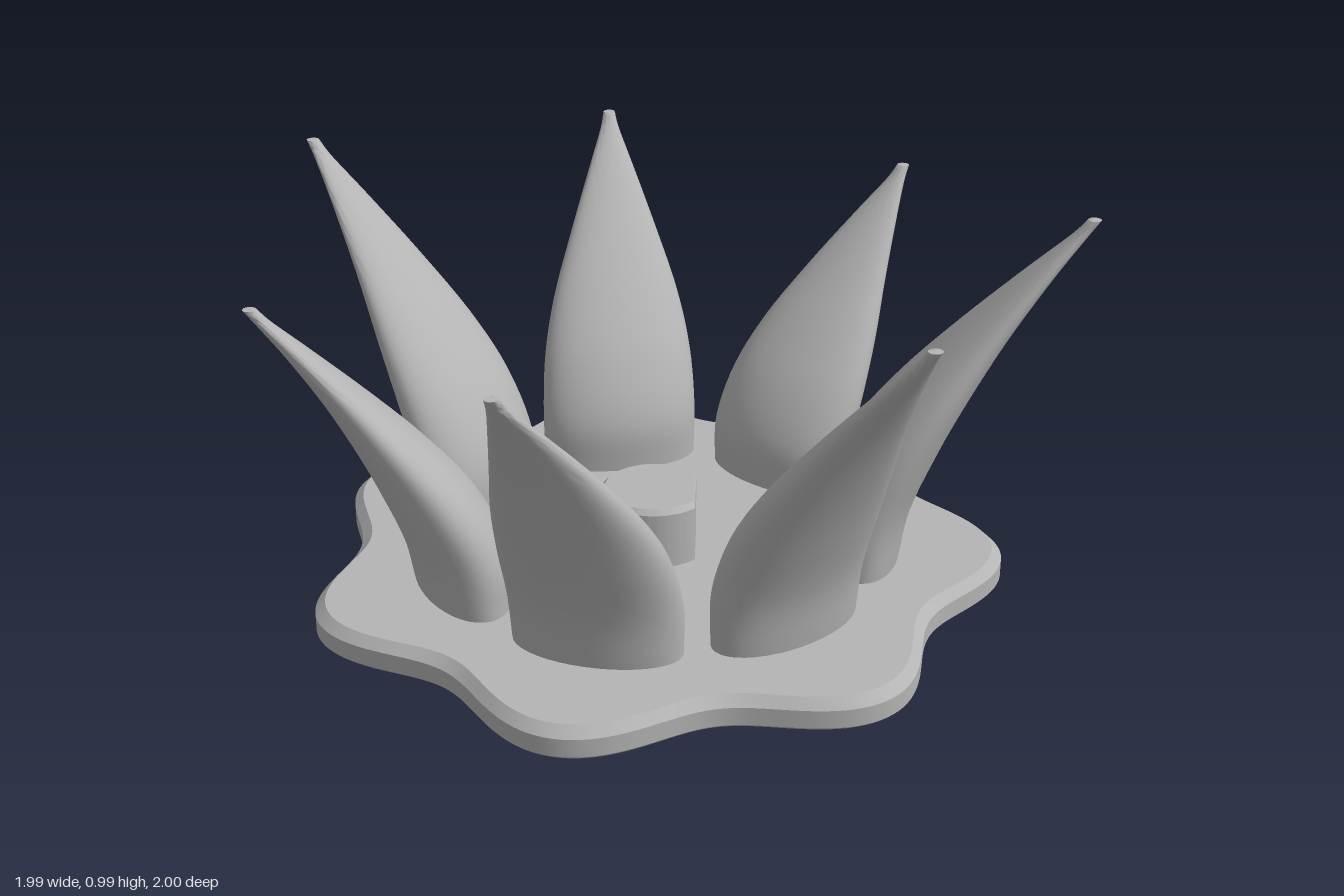
import * as THREE from 'three';
import { toCreasedNormals } from 'three/addons/utils/BufferGeometryUtils.js';

const CX = -0.07, CZ = 0.008, LEAVES = 7;

// Skin a stack of n-point rings, bottom to top, and cap both ends.
function loft(rings, crease) {
  const n = rings[0].length, pos = [], idx = [];
  rings.forEach(r => r.forEach(p => pos.push(p.x, p.y, p.z)));
  for (let i = 0; i < rings.length - 1; i++) {
    for (let j = 0; j < n; j++) {
      const k = (j + 1) % n;
      const a = i * n + j, b = i * n + k, c = b + n, d = a + n;
      idx.push(a, d, c, a, c, b);
    }
  }
  for (const i of [0, rings.length - 1]) {
    const mid = new THREE.Vector3();
    rings[i].forEach(p => mid.addScaledVector(p, 1 / n));
    const m = pos.length / 3;
    pos.push(mid.x, mid.y, mid.z);
    for (let j = 0; j < n; j++) {
      const a = i * n + j, b = i * n + (j + 1) % n;
      if (i === 0) idx.push(m, a, b); else idx.push(m, b, a);
    }
  }
  const g = new THREE.BufferGeometry();
  g.setAttribute('position', new THREE.Float32BufferAttribute(pos, 3));
  g.setIndex(idx);
  return toCreasedNormals(g, crease);
}

// Ring at height y whose radius follows a function of the angle.
function polarRing(n, y, radius) {
  return Array.from({ length: n }, (_, j) => {
    const a = j / n * Math.PI * 2, r = radius(a);
    return new THREE.Vector3(r * Math.cos(a), y, r * Math.sin(a));
  });
}

// Leaf: elliptical sections leaning outward along +x, thinning to a blunt tip.
function leafGeometry(scale) {
  const stations = [ // height, outward lean, half thickness, half width
    [0, 0, 0.105, 0.208],
    [0.15, 0.015, 0.117, 0.212],
    [0.31, 0.08, 0.112, 0.203],
    [0.46, 0.17, 0.09, 0.173],
    [0.62, 0.285, 0.06, 0.12],
    [0.77, 0.405, 0.034, 0.065],
    [0.87, 0.49, 0.019, 0.027],
    [0.915, 0.525, 0.016, 0.016],
  ];
  const curve = f => new THREE.CatmullRomCurve3(stations.map(f), false, 'catmullrom', 0.5);
  const path = curve(s => new THREE.Vector3(s[1], s[0], 0));
  const size = curve(s => new THREE.Vector3(s[2], s[3], 0));
  const rings = [];
  for (let i = 0; i <= 35; i++) {
    const p = path.getPoint(i / 35), s = size.getPoint(i / 35);
    rings.push(polarRing(40, 0, () => 1).map(q => new THREE.Vector3(
      0.52 + p.x * scale + q.x * s.x,
      0.07 + p.y * scale,
      0.12 * p.x + q.z * s.y)));
  }
  return loft(rings, 0.9);
}

export function createModel() {
  const model = new THREE.Group();
  const grey = new THREE.MeshStandardMaterial({ color: 0xb4b4b4 });
  grey.name = 'plain grey';
  const add = (name, geometry) => {
    const mesh = new THREE.Mesh(geometry, grey);
    mesh.name = name;
    mesh.position.set(CX, 0, CZ);
    model.add(mesh);
    return mesh;
  };

  // Scalloped base plate with a bevelled rim
  const plate = (y, inset) => polarRing(280, y, a => 0.825 - inset + 0.065 * Math.cos(LEAVES * a));
  add('basePlate', loft(
    [plate(0, 0.006), plate(0.006, 0), plate(0.052, 0), plate(0.076, 0.026)], 0.35));

  // Centre peg with one flat side and a chamfered top
  const peg = (y, inset) => polarRing(104, y, a => {
    const c = Math.cos(a);
    return c > 0 ? Math.min(0.14 - inset, (0.105 - inset * 0.5) / c) : 0.14 - inset;
  });
  add('centrePeg', loft([peg(0.06, 0), peg(0.222, 0), peg(0.235, 0.013)], 0.4));

  // Ring of leaves in three repeating heights
  const shapes = [1, 0.863, 0.93].map(leafGeometry);
  for (let i = 0; i < LEAVES; i++) {
    add('leaf' + (i + 1), shapes[i % 3]).rotation.y = i / LEAVES * Math.PI * 2;
  }
  return model;
}
